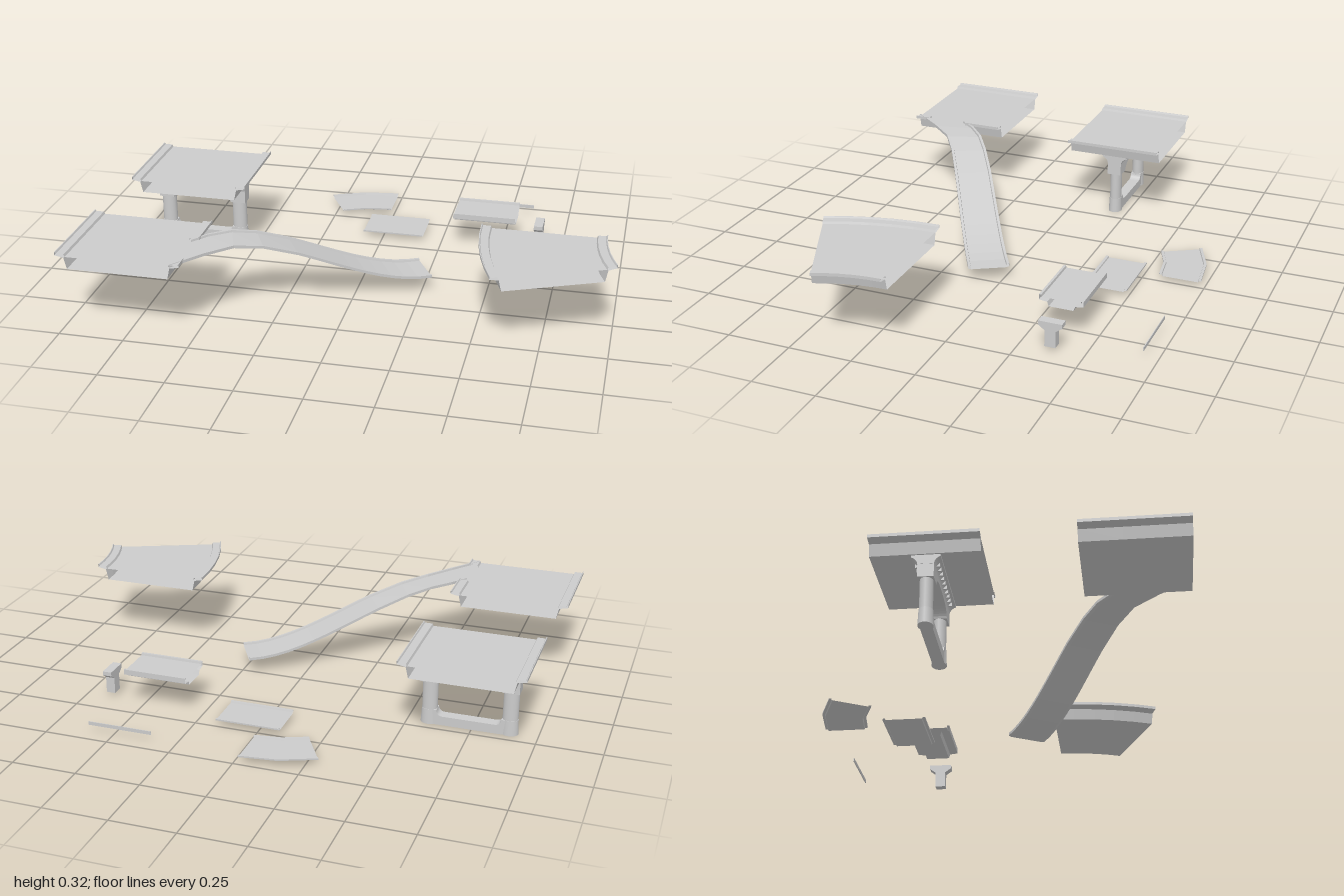
import * as THREE from 'three';

const mat = new THREE.MeshStandardMaterial({ color: 0xcccccc, flatShading: true, side: THREE.DoubleSide });
const smoothMat = new THREE.MeshStandardMaterial({ color: 0xcccccc });

function add(parent, name, geo, x = 0, y = 0, z = 0, material = mat) {
  const m = new THREE.Mesh(geo, material);
  m.name = name;
  m.position.set(x, y, z);
  parent.add(m);
  return m;
}

// Open-ended shell swept along stations {l:[x,z], r:[x,z], y}.
// A half profile lists [inset from edge, height] from the kerb over the edge to the underside.
function sweep(stations, half, rightHalf = half) {
  const rings = stations.map(({ l, r, y = 0 }) => {
    const w = Math.hypot(r[0] - l[0], r[1] - l[1]);
    const dx = (r[0] - l[0]) / w, dz = (r[1] - l[1]) / w;
    const left = [...half].reverse().map(([i, h]) => [l[0] + dx * i, y + h, l[1] + dz * i]);
    const right = rightHalf.map(([i, h]) => [r[0] - dx * i, y + h, r[1] - dz * i]);
    return [...left, ...right];
  });
  const pos = [];
  for (let s = 0; s < rings.length - 1; s++) {
    const a = rings[s], b = rings[s + 1], n = a.length;
    for (let i = 0; i < n; i++) {
      const j = (i + 1) % n;
      pos.push(...a[i], ...a[j], ...b[j], ...a[i], ...b[j], ...b[i]);
    }
  }
  const g = new THREE.BufferGeometry();
  g.setAttribute('position', new THREE.Float32BufferAttribute(pos, 3));
  g.computeVertexNormals();
  return g;
}

const alongZ = (x0, x1, z0, z1) => [{ l: [x0, z1], r: [x1, z1] }, { l: [x0, z0], r: [x1, z0] }];
const alongX = (x0, x1, z0, z1) => [{ l: [x0, z0], r: [x0, z1] }, { l: [x1, z0], r: [x1, z1] }];

// Cross-sections
const deckHalf = [[0.04, 0.308], [0.036, 0.317], [0.006, 0.317], [0.003, 0.323], [0, 0.323], [0, 0.311], [0.035, 0.304], [0.045, 0.26]];
const deckOpenHalf = [[0.04, 0.308], [0, 0.308], [0, 0.305], [0.035, 0.304], [0.045, 0.26]];
const slabHalf = [[0.012, 0.021], [0.01, 0.027], [0, 0.027], [0, 0.021], [0.01, 0.02], [0.013, 0.015]];
const smallBridgeHalf = [[0.011, 0.148], [0.009, 0.157], [0, 0.157], [0, 0.136], [0.032, 0.132], [0.038, 0.115]];
const rampHalf = [[0.012, 0], [0.01, 0.008], [0, 0.008], [0, -0.003], [0.012, -0.007]];

function extrude(shape, depth) {
  const g = new THREE.ExtrudeGeometry(shape, { depth, bevelEnabled: false, curveSegments: 10 });
  return g.translate(0, 0, -depth / 2);
}

function createPier() {
  const pier = new THREE.Group();
  pier.name = 'pier';

  // Posts with wider feet
  for (const s of [-1, 1]) {
    add(pier, 'post', new THREE.CylinderGeometry(0.03, 0.03, 0.19, 20), s * 0.154, 0.095, 0, smoothMat).scale.z = 0.8;
    add(pier, 'postFoot', new THREE.CylinderGeometry(0.031, 0.034, 0.06, 20), s * 0.154, 0.03, 0, smoothMat).scale.z = 0.82;
  }

  // Arched crossbeam
  const beam = new THREE.Shape();
  beam.moveTo(-0.187, 0.175);
  beam.lineTo(-0.125, 0.175);
  beam.bezierCurveTo(-0.115, 0.205, -0.08, 0.215, 0, 0.215);
  beam.bezierCurveTo(0.08, 0.215, 0.115, 0.205, 0.125, 0.175);
  beam.lineTo(0.187, 0.175);
  beam.lineTo(0.187, 0.24);
  beam.lineTo(-0.187, 0.24);
  add(pier, 'crossbeam', extrude(beam, 0.058));

  // Flared cap under the deck
  const cap = new THREE.Shape();
  cap.moveTo(-0.029, 0.225);
  cap.lineTo(0.029, 0.225);
  cap.quadraticCurveTo(0.032, 0.245, 0.052, 0.252);
  cap.lineTo(0.052, 0.26);
  cap.lineTo(-0.052, 0.26);
  cap.lineTo(-0.052, 0.252);
  cap.quadraticCurveTo(-0.032, 0.245, -0.029, 0.225);
  add(pier, 'cap', extrude(cap, 0.376).rotateY(Math.PI / 2));

  // Row of small brackets below the flare
  for (let i = 0; i < 10; i++) for (const s of [-1, 1]) {
    add(pier, 'bracket', new THREE.BoxGeometry(0.006, 0.016, 0.014), -0.144 + i * 0.032, 0.242, s * 0.037);
  }

  // Ground beam with filleted inner corners
  const sill = new THREE.Shape();
  sill.moveTo(-0.15, 0);
  sill.lineTo(0.15, 0);
  sill.lineTo(0.15, 0.06);
  sill.lineTo(0.124, 0.06);
  sill.quadraticCurveTo(0.122, 0.037, 0.1, 0.036);
  sill.lineTo(-0.1, 0.036);
  sill.quadraticCurveTo(-0.122, 0.037, -0.124, 0.06);
  sill.lineTo(-0.15, 0.06);
  add(pier, 'groundBeam', extrude(sill, 0.044));
  return pier;
}

// Stations on an arc about (cx, cz); direction maps an angle to a unit vector
function arc(cx, cz, rl, rr, angle, segments, direction) {
  return Array.from({ length: segments + 1 }, (_, i) => {
    const [dx, dz] = direction(angle * (1 - i / segments));
    return { l: [cx + dx * rl, cz + dz * rl], r: [cx + dx * rr, cz + dz * rr] };
  });
}

export function createModel() {
  const root = new THREE.Group();
  root.name = 'roadBridgeKit';

  // Straight bridge section on its pier
  add(root, 'straightDeck', sweep(alongZ(-0.977, -0.5, -0.39, 0), deckHalf));
  const pier = createPier();
  pier.position.set(-0.738, 0, -0.192);
  root.add(pier);

  // Deck with a gap in its kerb where the ramp leaves
  const exit = new THREE.Group();
  exit.name = 'exitDeck';
  root.add(exit);
  for (const [z0, z1, right] of [[0.335, 0.49, deckHalf], [0.49, 0.67, deckOpenHalf], [0.67, 0.725, deckHalf]]) {
    add(exit, 'exitDeckPart', sweep(alongZ(-1, -0.525, z0, z1), deckHalf, right));
  }

  // Descending ramp
  const left = [[-0.55, 0.5], [-0.505, 0.44], [-0.435, 0.375], [-0.355, 0.318], [-0.25, 0.25]];
  const right = [[-0.56, 0.725], [-0.47, 0.61], [-0.385, 0.512], [-0.29, 0.447], [-0.175, 0.38]];
  const mix = (a, b, t) => [a[0] + (b[0] - a[0]) * t, a[1] + (b[1] - a[1]) * t];
  for (let i = 1, n = 10; i <= n; i++) {
    left.push(mix(left[4], [0.21, -0.025], i / n));
    right.push(mix(right[4], [0.29, 0.115], i / n));
  }
  const ramp = left.map((l, i) => {
    const r = right[i];
    return { l, r, y: 0.311 - 0.249 * THREE.MathUtils.smoothstep((l[0] + r[0]) / 2, -0.47, 0.24) };
  });
  add(root, 'exitRamp', sweep(ramp, rampHalf));

  // Curved bridge section
  add(root, 'curvedDeck', sweep(
    arc(1.575, 0.142, 1.095, 0.62, THREE.MathUtils.degToRad(23.5), 5, a => [-Math.cos(a), Math.sin(a)]), deckHalf));

  // Small ground roads
  add(root, 'straightRoad', sweep(alongX(-0.083, 0.17, -0.493, -0.323), slabHalf));
  add(root, 'curvedRoad', sweep(
    arc(-0.015, -0.175, 0.56, 0.39, Math.PI / 6, 2, a => [-Math.sin(a), -Math.cos(a)]), slabHalf));

  // Small bridge and its T-shaped pillar
  add(root, 'smallBridge', sweep(alongX(0.305, 0.56, -0.457, -0.286), smallBridgeHalf));
  const tee = new THREE.Shape([
    [-0.021, 0.015], [0.021, 0.015], [0.021, 0.08], [0.046, 0.098], [0.046, 0.114],
    [-0.046, 0.114], [-0.046, 0.098], [-0.021, 0.08],
  ].map(p => new THREE.Vector2(...p)));
  add(root, 'smallPillar', extrude(tee, 0.036).rotateY(Math.PI / 2), 0.653, 0, -0.372);

  // Thin guard rail
  add(root, 'guardRail', new THREE.BoxGeometry(0.255, 0.014, 0.003), 0.47, 0.037, -0.696);
  return root;
}
